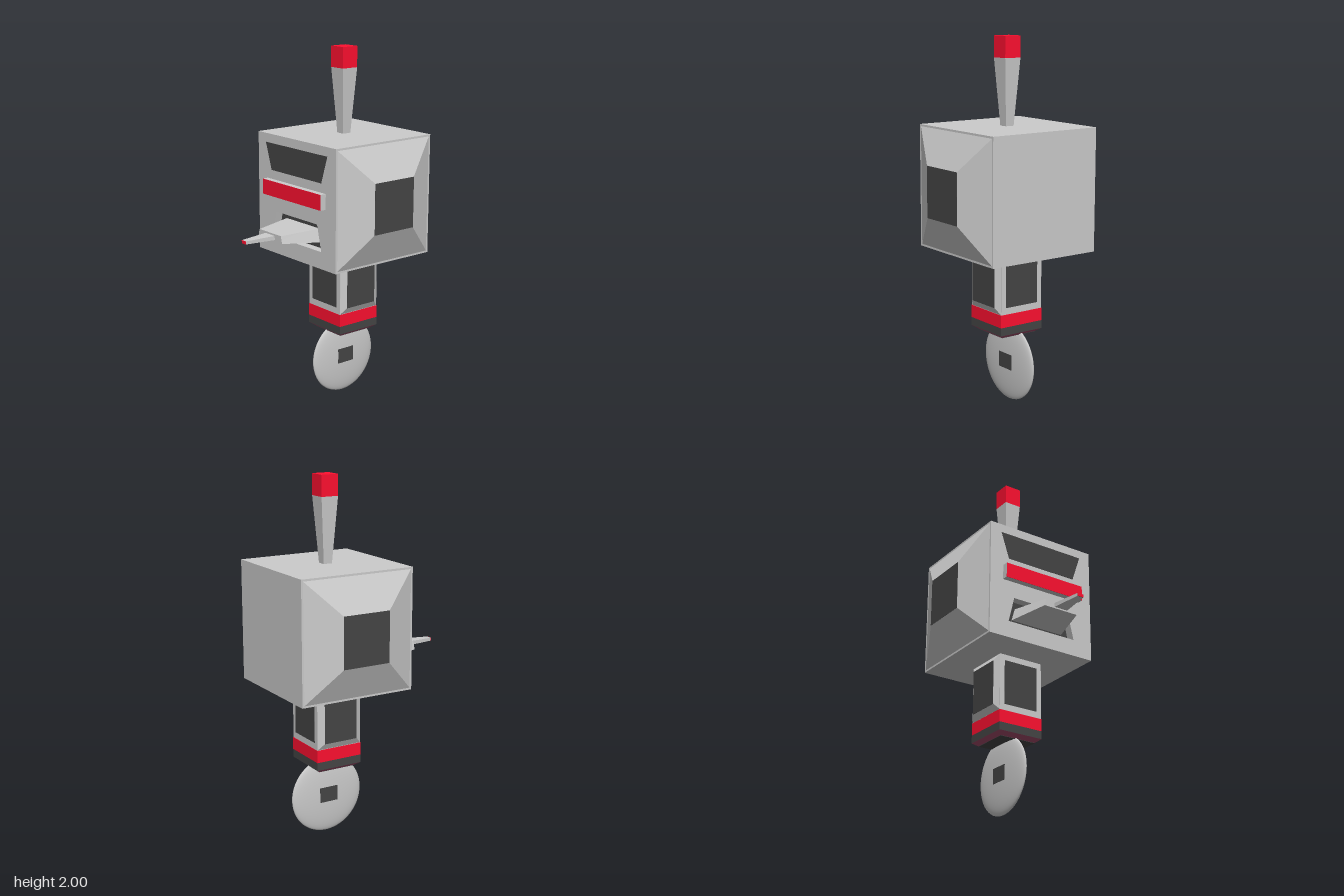
import * as THREE from 'three';

const mat = (color) => new THREE.MeshStandardMaterial({ color });
const grey = mat(0xcccccc), dark = mat(0x454545), red = mat(0xff1030), plum = mat(0xa04868);
const CZ = -0.175; // z of the shared vertical axis

function add(parent, name, geometry, material, x = 0, y = 0, z = 0) {
  const mesh = new THREE.Mesh(geometry, material);
  mesh.name = name;
  mesh.position.set(x, y, z);
  parent.add(mesh);
  return mesh;
}

// Block along z between two trapezoids [bottomHalf, topHalf, y0, y1]
function loft(z0, back, z1, front) {
  const g = new THREE.BoxGeometry(1, 1, 1);
  const p = g.attributes.position;
  for (let i = 0; i < p.count; i++) {
    const end = p.getZ(i) > 0;
    const [b, t, y0, y1] = end ? front : back;
    const top = p.getY(i) > 0;
    p.setXYZ(i, Math.sign(p.getX(i)) * (top ? t : b), top ? y1 : y0, end ? z1 : z0);
  }
  g.computeVertexNormals();
  return g;
}

// Upright square block from half-width h0 at y0 to h1 at y1
const post = (y0, h0, y1, h1) =>
  loft(y0, [h0, h0, -h0, h0], y1, [h1, h1, -h1, h1]).rotateX(-Math.PI / 2);

const trapezoid = (Type, b, t, y0, y1) => new Type([
  new THREE.Vector2(-b, y0), new THREE.Vector2(b, y0),
  new THREE.Vector2(t, y1), new THREE.Vector2(-t, y1)]);

function makeHead() {
  const head = new THREE.Group();
  head.name = 'head';
  // main block, then a front slab with the mouth opening cut through it
  add(head, 'headBlock', new THREE.BoxGeometry(0.67, 0.67, 0.62), grey, 0, 1.19, -0.2);
  const face = trapezoid(THREE.Shape, 0.335, 0.335, 0.855, 1.525);
  face.holes.push(trapezoid(THREE.Path, 0.215, 0.18, 0.95, 1.095));
  add(head, 'facePlate', new THREE.ExtrudeGeometry(face, { depth: 0.05, bevelEnabled: false }), grey, 0, 0, 0.11);
  add(head, 'mouthBack', loft(0.105, [0.215, 0.18, 0.95, 1.095], 0.112, [0.215, 0.18, 0.95, 1.095]), dark);
  add(head, 'eyePanel', loft(0.15, [0.215, 0.265, 1.325, 1.475], 0.162, [0.215, 0.265, 1.325, 1.475]), dark);
  // brow bar with a red front
  add(head, 'faceBar', new THREE.BoxGeometry(0.505, 0.085, 0.035), grey, 0, 1.232, 0.177);
  add(head, 'faceBarFront', new THREE.BoxGeometry(0.505, 0.085, 0.002), red, 0, 1.232, 0.195);
  // beak and its slim tip
  add(head, 'beak', loft(0.11, [0.165, 0.145, 0.985, 1.057], 0.337, [0.105, 0.095, 1.002, 1.043]), grey);
  add(head, 'beakTip', loft(0.337, [0.041, 0.041, 1.01, 1.033], 0.508, [0.018, 0.018, 1.011, 1.028]), grey);
  add(head, 'beakTipEnd', new THREE.BoxGeometry(0.036, 0.017, 0.002), red, 0, 1.0195, 0.509);
  // tapered cheeks with dark caps
  for (const s of [-1, 1]) {
    const cheek = new THREE.Group();
    cheek.name = s > 0 ? 'leftCheek' : 'rightCheek';
    cheek.position.set(0, 1.19, CZ);
    cheek.rotation.y = s * Math.PI / 2;
    add(cheek, 'cheekTaper', loft(0.33, [0.335, 0.335, -0.335, 0.335], 0.419, [0.138, 0.138, -0.14, 0.14]), grey);
    add(cheek, 'cheekCap', new THREE.BoxGeometry(0.276, 0.28, 0.002), dark, 0, 0, 0.419);
    head.add(cheek);
  }
  return head;
}

function makeNeck() {
  const neck = new THREE.Group();
  neck.name = 'neck';
  neck.position.z = CZ;
  add(neck, 'neckBlock', post(0.53, 0.135, 0.86, 0.135), grey);
  // flat panels front and back, raised panels on the sides
  for (let i = 0; i < 4; i++) {
    const panel = new THREE.Group();
    panel.name = 'neckPanel';
    panel.rotation.y = i * Math.PI / 2;
    const raised = i % 2 === 1;
    if (raised) add(panel, 'panelFrame', loft(0.134, [0.135, 0.135, 0.53, 0.855], 0.155, [0.1, 0.1, 0.568, 0.82]), grey);
    const w = raised ? 0.2 : 0.21;
    add(panel, 'panelFace', new THREE.BoxGeometry(w, 0.254, 0.002), dark, 0, 0.694, raised ? 0.155 : 0.136);
    neck.add(panel);
  }
  // collar bands and chamfered underside
  add(neck, 'redBand', post(0.46, 0.137, 0.53, 0.137), red);
  add(neck, 'darkBand', post(0.415, 0.137, 0.46, 0.137), dark);
  add(neck, 'lowerChamfer', post(0.396, 0.11, 0.415, 0.137), plum);
  add(neck, 'underside', post(0.394, 0.11, 0.396, 0.11), dark);
  return neck;
}

export function createModel() {
  const model = new THREE.Group();
  model.name = 'robot';
  model.add(makeHead(), makeNeck());

  // antenna, widening upward to a red tip
  add(model, 'antennaRod', post(1.52, 0.025, 1.885, 0.05), grey, 0, 0, CZ);
  add(model, 'antennaTip', post(1.885, 0.05, 2.0, 0.05), red, 0, 0, CZ);

  // lens-shaped wheel with a square hub
  const wheel = new THREE.SphereGeometry(1, 40, 28).scale(0.028, 0.217, 0.219);
  add(model, 'wheel', wheel, grey, -0.013, 0.219, -0.186);
  add(model, 'wheelHub', new THREE.BoxGeometry(0.058, 0.086, 0.11), dark, -0.013, 0.224, -0.186);
  return model;
}
